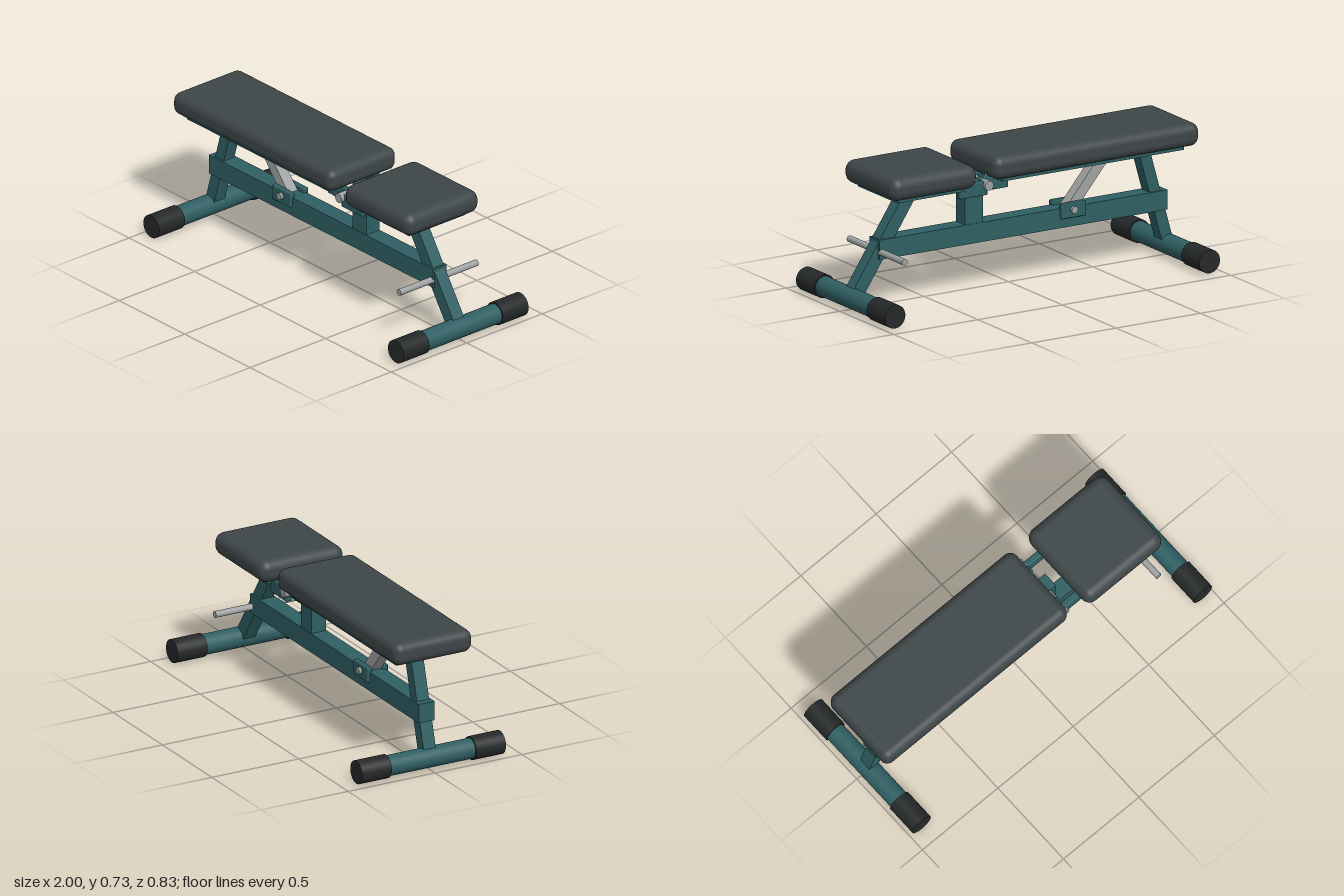
import * as THREE from 'three';
import { RoundedBoxGeometry } from 'three/addons/geometries/RoundedBoxGeometry.js';

const paint = new THREE.MeshStandardMaterial({ color: 0x2f5f63 });
const vinyl = new THREE.MeshStandardMaterial({ color: 0x3e4648 });
const rubber = new THREE.MeshStandardMaterial({ color: 0x25282a });
const steel = new THREE.MeshStandardMaterial({ color: 0xa0a3a3 });

export function createModel() {
  const model = new THREE.Group();
  model.name = 'weightBench';

  function add(name, geometry, material) {
    const mesh = new THREE.Mesh(geometry, material);
    mesh.name = name;
    model.add(mesh);
    return mesh;
  }

  // Box given by its x, y and z ranges, with optional rounded edges
  function block(name, [x0, x1], [y0, y1], [z0, z1], material, radius = 0, segments = 2) {
    const size = [x1 - x0, y1 - y0, z1 - z0];
    const geometry = radius
      ? new RoundedBoxGeometry(...size, segments, radius)
      : new THREE.BoxGeometry(...size);
    add(name, geometry, material).position.set((x0 + x1) / 2, (y0 + y1) / 2, (z0 + z1) / 2);
  }

  // Round bar lying across the bench
  function rod(name, x, y, z0, z1, radius, material, sides = 20) {
    const bar = add(name, new THREE.CylinderGeometry(radius, radius, z1 - z0, sides), material);
    bar.rotation.x = Math.PI / 2;
    bar.position.set(x, y, (z0 + z1) / 2);
  }

  // Slanted bar with level ends, between two points of the centre plane
  function slant(name, [xa, ya], [xb, yb], width, depth, material) {
    const h = width / 2;
    const shape = new THREE.Shape([
      new THREE.Vector2(xb - h, yb), new THREE.Vector2(xb + h, yb),
      new THREE.Vector2(xa + h, ya), new THREE.Vector2(xa - h, ya),
    ]);
    const geometry = new THREE.ExtrudeGeometry(shape, { depth, bevelEnabled: false });
    geometry.translate(0, 0, -depth / 2);
    add(name, geometry, material);
  }

  // Padding and its backing plates
  block('backPad', [-1, 0.22], [0.606, 0.726], [-0.225, 0.225], vinyl, 0.045, 6);
  block('backPlate', [-0.925, 0.15], [0.588, 0.608], [-0.18, 0.18], paint);
  block('seatPad', [0.325, 0.835], [0.59, 0.711], [-0.242, 0.242], vinyl, 0.052, 6);
  block('seatPlate', [0.38, 0.775], [0.572, 0.592], [-0.185, 0.185], paint);

  // Frame
  block('mainBeam', [-0.915, 0.795], [0.247, 0.349], [-0.045, 0.045], paint);
  block('hingePost', [0.177, 0.285], [0.345, 0.6], [-0.042, 0.042], paint);
  slant('seatLeg', [0.593, 0.573], [0.925, 0.07], 0.086, 0.07, paint);
  slant('backLeg', [-0.777, 0.59], [-0.925, 0.07], 0.066, 0.07, paint);

  // Hinge arms, the inner pair holding the back and the outer pair the seat
  for (const side of [-1, 1]) {
    const across = (a, b) => (side > 0 ? [a, b] : [-b, -a]);
    block('backHingeArm', [0.08, 0.25], [0.535, 0.607], across(0.09, 0.124), paint, 0.006);
    block('seatHingeArm', [0.225, 0.388], [0.525, 0.598], across(0.126, 0.16), paint, 0.006);
    block('strutBracket', [-0.42, -0.277], [0.295, 0.373], across(0.03, 0.06), paint, 0.005);
  }
  rod('hingePin', 0.228, 0.578, -0.18, 0.18, 0.025, steel);

  // Back support strut
  slant('backStrut', [-0.567, 0.592], [-0.347, 0.33], 0.076, 0.06, steel);
  rod('strutPin', -0.347, 0.338, -0.075, 0.075, 0.018, steel);

  // Leg pins and the crossbar for the ankles
  rod('seatLegPin', 0.582, 0.563, -0.062, 0.062, 0.014, steel);
  rod('backLegPin', -0.772, 0.576, -0.062, 0.062, 0.014, steel);
  rod('ankleBar', 0.779, 0.283, -0.257, 0.257, 0.017, steel);

  // Floor tubes with rubber end caps
  for (const [end, x] of [['back', -0.93], ['seat', 0.936]]) {
    rod(end + 'FloorTube', x, 0.062, -0.3, 0.3, 0.053, paint, 32);
    rod(end + 'LeftCap', x, 0.062, -0.413, -0.243, 0.061, rubber, 32);
    rod(end + 'RightCap', x, 0.062, 0.243, 0.413, 0.061, rubber, 32);
  }

  return model;
}
